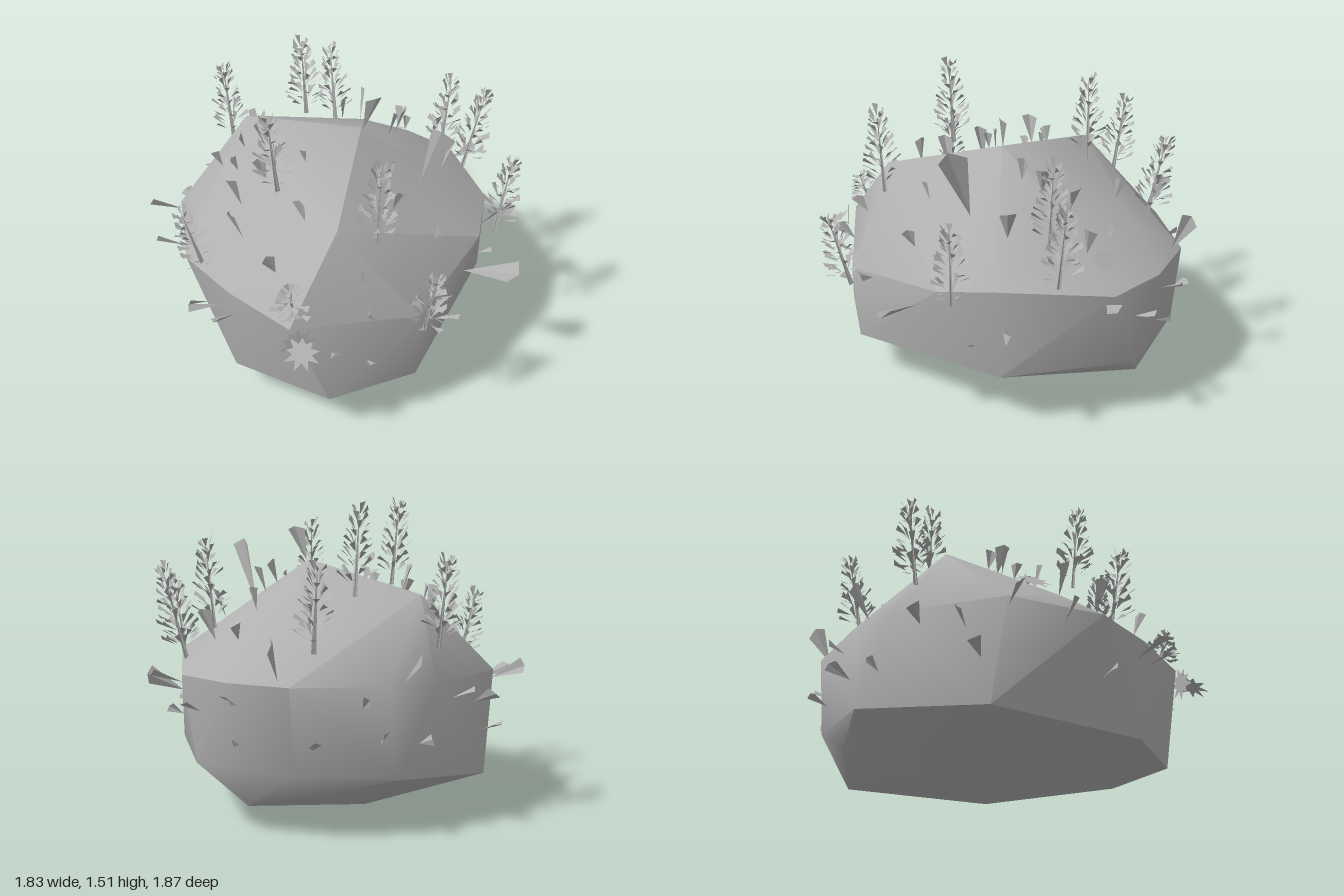
import * as THREE from 'three';
import { mergeGeometries, toCreasedNormals } from 'three/addons/utils/BufferGeometryUtils.js';
import { ConvexGeometry } from 'three/addons/geometries/ConvexGeometry.js';

const V = (x, y, z) => new THREE.Vector3(x, y, z);
const UP = V(0, 1, 0);

let seed = 11;
const rand = () => (seed = (seed * 16807) % 2147483647) / 2147483647;

// Loose triangles, each given as three points
function triangles(list) {
  const g = new THREE.BufferGeometry().setFromPoints(list.flat());
  g.computeVertexNormals();
  return g;
}

// Boulder: hull of its corner points, with only the sharp edges creased
function boulderGeometry() {
  const corners = [
    [0.11, 1.2, 0.04], [-0.21, 1.03, 0.56], [-0.31, 1.06, -0.49], [0.46, 0.98, -0.18],
    [0.36, 0.86, -0.55], [-0.68, 0.78, -0.1], [-0.5, 0.67, 0.72], [0.11, 0.62, 0.79],
    [0.58, 0.7, 0.44], [0.73, 0.75, 0.2], [0.79, 0.7, -0.34], [0.63, 0.7, -0.6],
    [0.38, 0.7, -0.8], [-0.06, 0.69, -0.82], [-0.3, 0.68, -0.76], [-0.71, 0.68, -0.4],
    [-0.8, 0.67, 0.05], [-0.68, 0.67, 0.38], [-0.33, 0.22, 0.77], [0.11, 0.24, 0.77],
    [0.73, 0.3, 0.18], [0.74, 0.31, -0.45], [0.35, 0.3, -0.78], [-0.1, 0.27, -0.82],
    [-0.65, 0.18, -0.45], [-0.66, 0.18, 0.34], [0.52, 0.12, -0.55], [0.2, 0.2, -0.73],
    [-0.11, 0, -0.24], [-0.32, 0.08, 0.08], [0.26, 0.08, 0.08],
  ].map((p) => V(...p));
  return toCreasedNormals(new ConvexGeometry(corners), 0.8);
}

// Fern: thin stem with tiers of small leaf shards
function fernGeometry() {
  const h = 0.42, tiers = 10, tris = [];
  for (let i = 0; i < tiers; i++) {
    const t = i / (tiers - 1), y = h * (0.17 + 0.74 * t);
    const reach = 0.1 * (1 - 0.62 * t);
    for (let k = 0; k < 5; k++) {
      const a = (k / 5) * Math.PI * 2 + i * 0.65 + rand() * 0.5;
      const out = V(Math.cos(a), 0, Math.sin(a));
      const side = V(-out.z, (rand() - 0.5) * 2.4, out.x).normalize().multiplyScalar(0.015);
      const root = out.clone().multiplyScalar(reach * 0.35).setY(y);
      const end = out.clone().multiplyScalar(reach * (0.85 + 0.25 * rand())).setY(y + 0.025 + 0.03 * rand());
      tris.push([root, end.clone().add(side), end.clone().sub(side)]);
    }
  }
  for (let k = 0; k < 2; k++) {
    const s = k ? V(0, 0, 0.012) : V(0.012, 0, 0);
    tris.push([s, V(0, h, 0), s.clone().negate()]);
  }
  return triangles(tris);
}

// Folded blade: pointed at its root, wide at its outer end
function bladeGeometry() {
  const root = V(0, 0, 0), mid = V(0, 1, 0.12);
  return triangles([[root, V(0.27, 0.98, 0), mid], [root, mid, V(-0.27, 0.85, 0)]]);
}

// Broad leaf: jagged star outline, facing +y
function starLeafGeometry() {
  const s = new THREE.Shape();
  for (let i = 0; i < 18; i++) {
    const a = (i / 18) * Math.PI * 2, r = i % 2 ? 0.05 : 0.08 + 0.04 * rand();
    s[i ? 'lineTo' : 'moveTo'](Math.cos(a) * r, Math.sin(a) * r);
  }
  return new THREE.ShapeGeometry(s).rotateX(-Math.PI / 2);
}

export function createModel() {
  const group = new THREE.Group();
  const stone = new THREE.MeshStandardMaterial({ color: 0xb0b0b0 });
  stone.name = 'stone grey';
  const foliage = new THREE.MeshStandardMaterial({ color: 0xb0b0b0, side: THREE.DoubleSide });
  foliage.name = 'foliage grey';
  const add = (name, geo, mat) => {
    const m = new THREE.Mesh(geo, mat);
    m.name = name;
    group.add(m);
    return m;
  };
  const boulder = add('boulder', boulderGeometry(), stone);

  // Surface point and normal, found from above or outward from the middle
  const ray = new THREE.Raycaster();
  const cast = (from, dir) => {
    ray.set(from, dir.normalize());
    const hit = ray.intersectObject(boulder)[0];
    return hit && { p: hit.point, n: hit.face.normal };
  };
  const fromAbove = (x, z) => cast(V(x, 3, z), V(0, -1, 0));
  const fromSide = (x, y, z) => {
    const d = V(x, 0, z).normalize();
    return cast(V(d.x * 3, y, d.z * 3), d.negate());
  };
  const place = (geo, p, dir, spin, sx, sy) => {
    const q = new THREE.Quaternion().setFromUnitVectors(UP, dir.clone().normalize());
    q.multiply(new THREE.Quaternion().setFromAxisAngle(UP, spin));
    return geo.clone().applyMatrix4(new THREE.Matrix4().compose(p, q, V(sx, sy, sx)));
  };

  // Ferns: root x, y, z, height scale and outward lean in x, z
  const ferns = [
    [-0.34, 0.83, -0.66, 1, -0.05, -0.15], [0.24, 0.82, -0.66, 1, 0, -0.2], [-0.01, 1.05, -0.42, 1, -0.05, 0],
    [0.6, 0.88, -0.08, 1.03, 0.1, 0], [0.74, 0.74, -0.09, 1.1, 0.25, 0], [-0.37, 1.05, 0.2, 1.04, -0.1, 0.03],
    [-0.73, 0.64, 0.14, 0.93, -0.25, 0.02], [-0.46, 0.69, 0.64, 0.45, -0.1, 0.3], [-0.03, 0.95, 0.6, 1.02, 0, 0.05],
    [0.69, 0.68, 0.39, 1, 0.15, 0.03], [0.13, 0.54, 0.8, 0.92, 0, 0.25],
  ];
  const fern = fernGeometry();
  add('ferns', mergeGeometries(ferns.map(([x, y, z, s, lx, lz], i) =>
    place(fern, V(x, y, z), V(lx, 1, lz), i * 1.3, 1, s))), foliage);

  // Small blades on the upper surface: x, z and length
  const blade = bladeGeometry(), blades = [];
  const plant = (s, lift, l) => s && blades.push(
    place(blade, s.p, s.n.clone().add(V(0, lift, 0)), rand() * 6, 0.05 + 0.6 * l, l));
  const top = [
    [0.13, 0.4, 0.1], [0.17, 0.25, 0.1], [-0.18, 0.05, 0.08], [-0.36, -0.02, 0.12], [-0.3, 0.38, 0.12],
    [-0.38, -0.3, 0.1], [-0.5, -0.3, 0.1], [-0.45, -0.2, 0.08], [0.22, -0.5, 0.12], [0.53, -0.37, 0.08],
    [0.42, -0.22, 0.12], [0.28, -0.02, 0.12], [0.34, 0.24, 0.36], [0.12, 0.04, 0.18],
    [-0.48, 0.48, 0.12], [-0.5, 0.02, 0.18], [-0.55, 0.2, 0.18], [-0.3, -0.2, 0.15], [0.35, -0.1, 0.14],
    [0.52, 0.1, 0.16], [-0.14, 0.68, 0.1], [0.3, 0.5, 0.1], [0.62, -0.25, 0.16],
  ];
  for (const [x, z, l] of top) plant(fromAbove(x, z), 1, l);

  // Blades standing out from the sides: direction x, z, height and length
  const sides = [
    [0.47, -0.83, 0.72, 0.2], [0.64, -0.7, 0.6, 0.12], [0.78, -0.5, 0.55, 0.12], [0.83, -0.32, 0.66, 0.15],
    [0.75, 0.17, 0.54, 0.2], [0.52, 0.58, 0.58, 0.28], [0.37, 0.83, 0.44, 0.1], [0.27, 0.83, 0.62, 0.1],
    [-0.15, 0.82, 0.66, 0.12], [-0.16, 0.85, 0.42, 0.07], [-0.33, 0.8, 0.5, 0.1], [-0.7, 0.42, 0.55, 0.15],
    [-0.87, 0.38, 0.55, 0.2], [-0.85, -0.15, 0.6, 0.15], [-0.72, -0.4, 0.64, 0.17], [-0.65, -0.6, 0.55, 0.13],
    [-0.62, -0.48, 0.4, 0.12], [-0.47, -0.77, 0.6, 0.12], [-0.17, -0.95, 0.7, 0.18], [-0.03, -0.92, 0.44, 0.12],
    [0.06, -0.9, 0.6, 0.1], [0.3, -0.87, 0.42, 0.1], [-0.25, -0.88, 0.42, 0.09], [0.8, 0, 0.45, 0.08],
    [0.75, 0.3, 0.45, 0.08], [-0.8, 0.1, 0.4, 0.1], [0.6, -0.65, 0.42, 0.09],
  ];
  for (const [x, z, y, l] of sides) plant(fromSide(x, y, z), 0.5, l);
  add('blades', mergeGeometries(blades), foliage);

  // Broad leaves lying just off the surface
  const star = starLeafGeometry();
  const leaves = [fromAbove(-0.63, -0.23), fromSide(0.75, 0.8, -0.35), fromSide(-0.48, 0.62, 0.73)]
    .filter(Boolean)
    .map(({ p, n }, i) => place(star, p.clone().addScaledVector(n, 0.04), n, i, [0.95, 0.7, 0.9][i], 1));
  leaves.push(place(star, V(-0.48, 0.62, 0.83), V(-0.1, 1, 0.5), 0.5, 0.9, 1));
  add('broadLeaves', mergeGeometries(leaves), foliage);

  return group;
}
